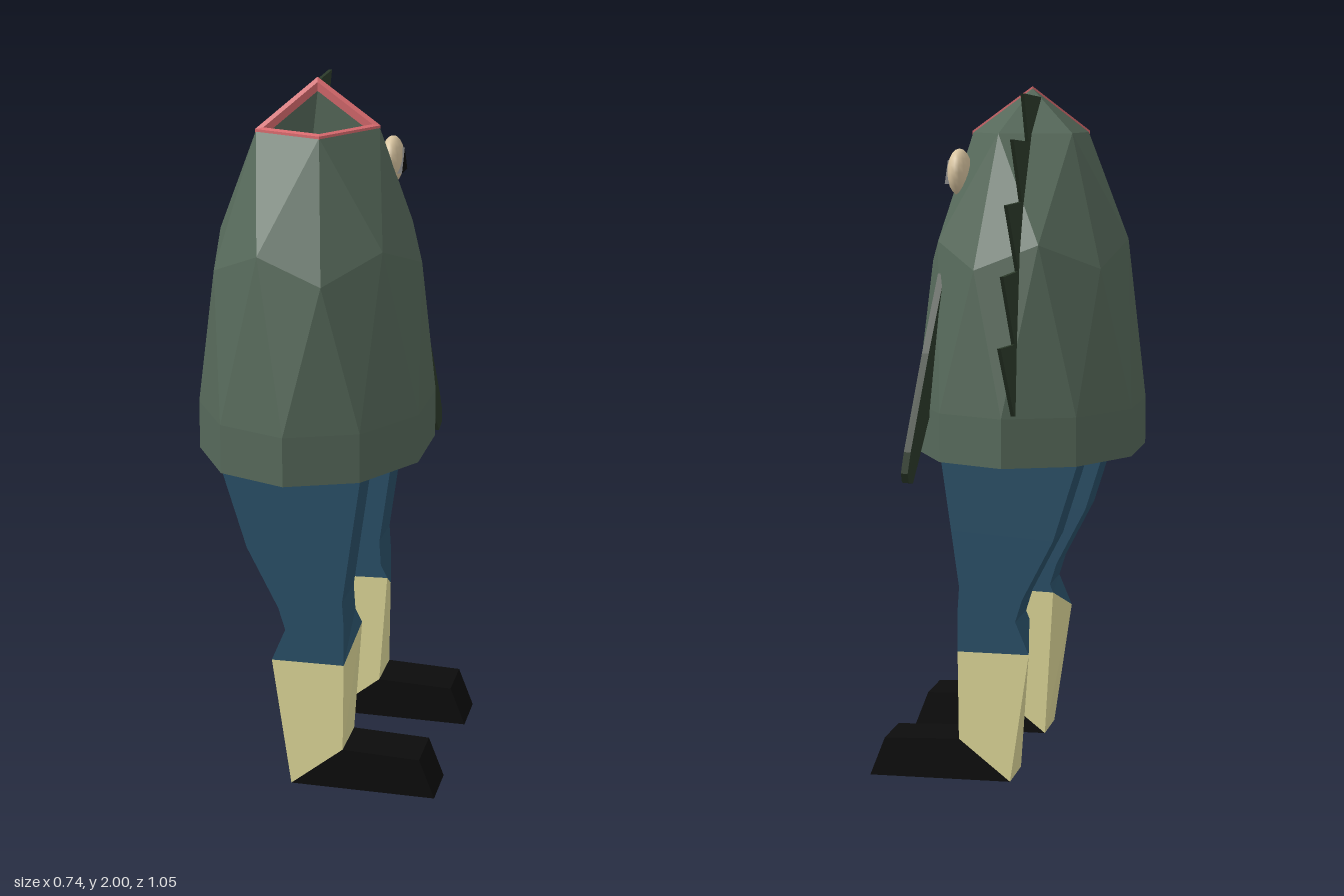
import * as THREE from 'three';

const material = (color, flatShading = true) =>
  new THREE.MeshStandardMaterial({ color, flatShading, side: THREE.DoubleSide });
const skin = material(0x56695a), finGreen = material(0x2c3a2a), lip = material(0xd86a6e);
const denim = material(0x2a5068), sock = material(0xdfd999), black = material(0x0c0c0c);
const eyeball = material(0xd8c4a0, false);

const CX = -0.05, CZ = 0.095; // body axis
const v = (x, y, z) => new THREE.Vector3(x, y, z);

function mesh(name, geometry, mat) {
  const m = new THREE.Mesh(geometry, mat);
  m.name = name;
  return m;
}

function fromTriangles(points) {
  const g = new THREE.BufferGeometry().setFromPoints(points);
  g.computeVertexNormals();
  return g;
}

// Skin a list of equal-sized rings, optionally closing the last one
function loft(rings, capEnd = false) {
  const out = [];
  for (let r = 0; r < rings.length - 1; r++) {
    const a = rings[r], b = rings[r + 1];
    a.forEach((p, i) => {
      const j = (i + 1) % a.length;
      out.push(p, b[i], a[j], b[i], b[j], a[j]);
    });
  }
  if (capEnd) {
    const e = rings[rings.length - 1];
    for (let i = 1; i < e.length - 1; i++) out.push(e[0], e[i + 1], e[i]);
  }
  return out;
}

// Ring around the body axis, angles from +x towards +z
const bodyRing = (n, radius, y, startDeg) => Array.from({ length: n }, (_, i) => {
  const a = THREE.MathUtils.degToRad(startDeg + i * 360 / n);
  return v(CX + 0.337 * radius * Math.cos(a), y, CZ + 0.432 * radius * Math.sin(a));
});

// Faceted half icosphere with a short skirt; two top facets are left out for the mouth
function addBody(group) {
  const base = 1.08, h = 0.915;
  const pole = v(CX, base + h, CZ);
  const crown = bodyRing(5, 0.5257, base + 0.8607 * h, 0);
  const upper = bodyRing(5, 0.8944, base + 0.4472 * h, 0);
  const mid = bodyRing(5, 0.8507, base + 0.5257 * h, 36);
  const equator = bodyRing(10, 1, base, 18);
  const hem = bodyRing(10, 1, 0.94, 18);
  const points = [];
  const tri = (a, b, c) => points.push(a, c, b);
  for (let k = 0; k < 5; k++) {
    const n = (k + 1) % 5, e0 = equator[(2 * k + 9) % 10], e1 = equator[2 * k], e2 = equator[2 * k + 1];
    if (k > 1) tri(pole, crown[k], crown[n]);
    tri(crown[k], upper[k], mid[k]);
    tri(crown[k], mid[k], crown[n]);
    tri(crown[n], mid[k], upper[n]);
    tri(upper[k], e0, e1);
    tri(upper[k], e1, mid[k]);
    tri(mid[k], e1, e2);
    tri(mid[k], e2, upper[n]);
  }
  points.push(...loft([hem, equator]));
  for (let i = 1; i < 9; i++) points.push(hem[0], hem[i], hem[i + 1]);
  group.add(mesh('body', fromTriangles(points), skin));

  // Lip band and mouth cavity
  const corners = [pole, crown[0], crown[1], crown[2]];
  const centre = corners.reduce((s, p) => s.add(p), v(0, 0, 0)).multiplyScalar(0.25);
  const ring = (s, dy) => corners.map(p => p.clone().sub(centre).multiplyScalar(s).add(centre).add(v(0, dy, 0)));
  const inset = ring(0.88, -0.02);
  const floor = ring(0.62, -0.12).map(p => p.add(v(-0.02, 0, -0.025)));
  group.add(mesh('lips', fromTriangles(loft([ring(1.015, -0.014), ring(1.015, 0.005), ring(0.88, 0.005), inset])), lip));
  group.add(mesh('mouthCavity', fromTriangles(loft([inset, floor], true)), skin));
}

// Each level: outer back, outer front, inner back, inner front as [x, y]
function legPart(name, levels, mat, cap) {
  const rings = levels.map(([ob, of, ib = ob, inf = of]) => [
    v(...of, 0.335), v(...inf, 0.18), v(...ib, 0.18), v(...ob, 0.335)]);
  return mesh(name, fromTriangles(loft(rings, cap)), mat);
}

function makeLeg(name) {
  const leg = new THREE.Group();
  leg.name = name;
  const cuff = [[-0.11, 0.385], [0.1, 0.385], [-0.08, 0.455], [0.12, 0.46]];
  const ankle = [[-0.055, 0.005], [0.097, 0.125]];
  leg.add(
    legPart('trouserLeg', [
      [[-0.25, 0.945], [0.147, 0.945]],
      [[-0.18, 0.72], [0.118, 0.74]],
      [[-0.09, 0.545], [0.095, 0.575]],
      [[-0.07, 0.48], [0.1, 0.5]],
      cuff], denim),
    legPart('sock', [cuff, ankle], sock),
    legPart('shoe', [ankle, [[0.365, 0], [0.32, 0.115]]], black, true));
  leg.position.z = CZ;
  return leg;
}

// Thin plate drawn in [z, y], with its x set by a rule
function plate(name, outline, thickness, xAt) {
  const shape = new THREE.Shape(outline.map(([z, y]) => new THREE.Vector2(-z, y)));
  const g = new THREE.ExtrudeGeometry(shape, { depth: thickness, bevelEnabled: false });
  g.rotateY(Math.PI / 2);
  const p = g.attributes.position;
  for (let i = 0; i < p.count; i++) p.setX(i, p.getX(i) + xAt(p.getY(i), p.getZ(i)));
  g.computeVertexNormals();
  return mesh(name, g, finGreen);
}

export function createModel() {
  const model = new THREE.Group();
  model.name = 'walkingFish';
  addBody(model);

  const legA = makeLeg('frontLeg'), legB = makeLeg('backLeg');
  legB.scale.z = -1;
  model.add(legA, legB);

  // Jagged back fin
  model.add(plate('backFin', [
    [0.06, 1.97], [-0.2, 1.98], [-0.13, 1.845], [-0.35, 1.855], [-0.225, 1.68],
    [-0.435, 1.68], [-0.28, 1.49], [-0.49, 1.49], [-0.33, 1.29], [-0.527, 1.3],
    [-0.34, 1.09], [-0.27, 1.08], [-0.2, 1.5], [-0.05, 1.78], [0.05, 1.88],
  ], 0.01, (y, z) => -0.083 + 0.016 * z));

  // Side fin hanging against the body
  model.add(plate('sideFin', [
    [-0.155, 1.47], [-0.145, 1.08], [-0.24, 0.935], [-0.28, 0.88], [-0.33, 0.89],
    [-0.355, 0.92], [-0.345, 0.98], [-0.25, 1.25],
  ], 0.02, y => 0.215 - 0.11 * (y - 0.92)));

  // Eye with a triangular pupil
  const eye = new THREE.Group();
  eye.name = 'eye';
  const ball = mesh('eyeball', new THREE.SphereGeometry(1, 16, 10), eyeball);
  ball.scale.set(0.033, 0.068, 0.068);
  const pupil = mesh('pupil', new THREE.CylinderGeometry(0.045, 0.045, 0.02, 3)
    .rotateZ(-Math.PI / 2).rotateX(-Math.PI / 2), black);
  pupil.position.set(0.025, -0.01, 0);
  eye.add(ball, pupil);
  eye.position.set(0.139, 1.755, -0.032);
  model.add(eye);
  return model;
}
